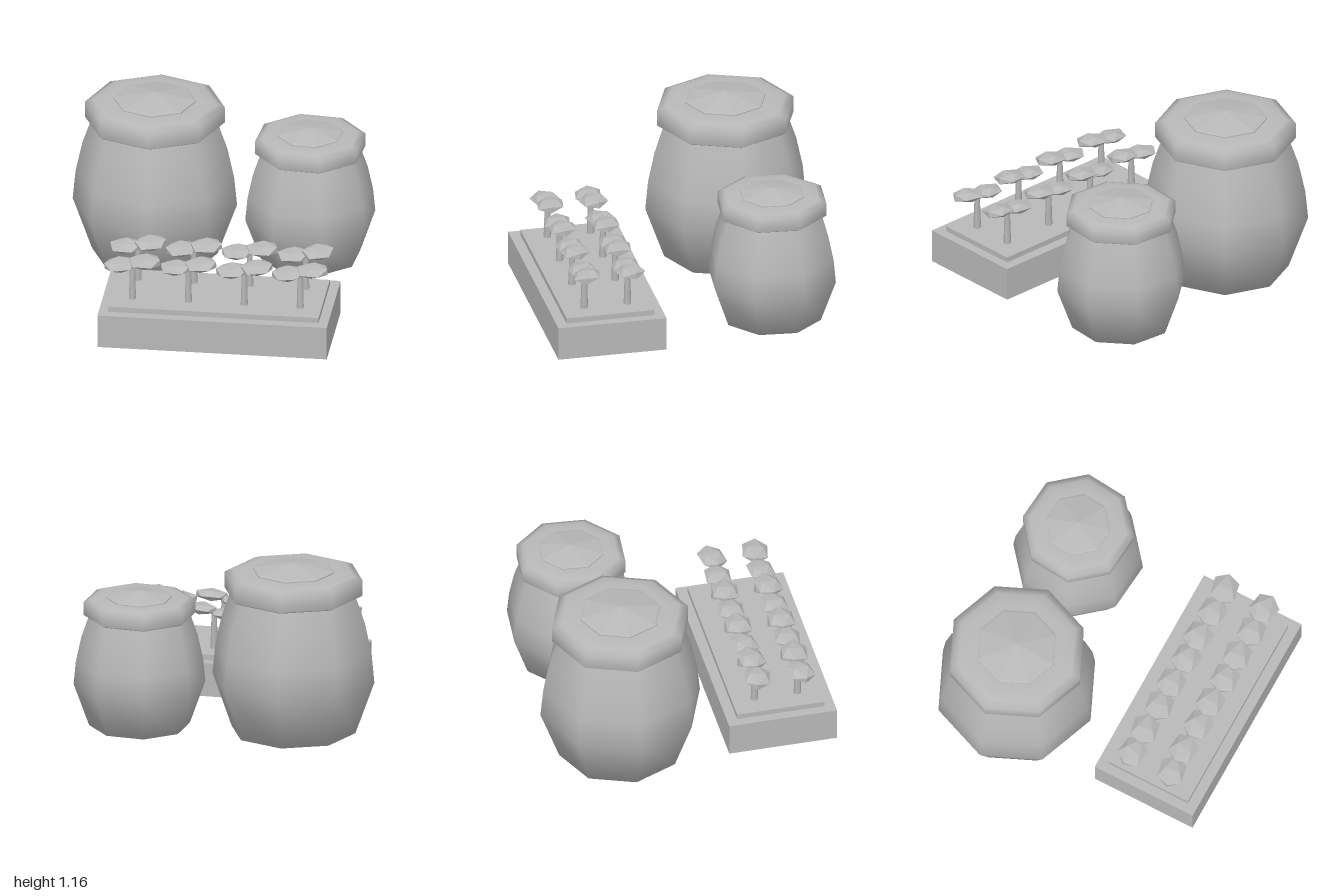
import * as THREE from 'three';

const stone = new THREE.MeshStandardMaterial({ color: 0xb8b8b8 });
stone.name = 'plain grey';

function add(parent, name, geometry, x = 0, y = 0, z = 0) {
  const mesh = new THREE.Mesh(geometry, stone);
  mesh.name = name;
  mesh.position.set(x, y, z);
  parent.add(mesh);
  return mesh;
}

// Eight-sided turned shape from [radius, height] pairs, bottom to top
function turned(profile, flat = false) {
  const points = profile.map(([r, y]) => new THREE.Vector2(r, y));
  const geometry = new THREE.LatheGeometry(points, 8);
  if (!flat) return geometry;
  const faceted = geometry.toNonIndexed();
  faceted.computeVertexNormals();
  return faceted;
}

// Rounded jar with a thick rim and a low pointed lid
function makeJar(name, x, z, scale, turn) {
  const jar = new THREE.Group();
  jar.name = name;
  add(jar, 'jarBody', turned([
    [0, 0], [0.4, 0.045], [0.523, 0.39], [0.505, 0.58], [0.462, 0.78], [0.4, 0.96],
  ]));
  add(jar, 'jarRim', turned([
    [0.37, 0.96], [0.425, 0.952], [0.446, 0.965], [0.446, 1.068], [0.39, 1.092], [0.32, 1.1], [0.24, 1.1],
  ]));
  add(jar, 'jarLid', turned([[0.262, 1.095], [0.262, 1.107], [0.25, 1.112], [0, 1.158]], true));
  jar.position.set(x, 0, z);
  jar.scale.setScalar(scale);
  jar.rotation.y = THREE.MathUtils.degToRad(turn);
  return jar;
}

// Small plant: one tapered stem under two overlapping leaf clumps
const stemGeometry = new THREE.CylinderGeometry(0.017, 0.025, 0.24, 6);
const leafGeometry = new THREE.IcosahedronGeometry(1, 0).rotateY(Math.PI / 2);
leafGeometry.scale(0.116, 0.038, 0.094);

function makePlant(x, z, index) {
  const plant = new THREE.Group();
  plant.name = 'plant';
  add(plant, 'stem', stemGeometry, 0, 0.12, 0);
  for (const side of [-1, 1]) {
    const leaf = add(plant, 'leafClump', leafGeometry, side * 0.08, 0.251 + side * 0.015, 0);
    leaf.rotation.set(0.1, 0.2 * Math.sin(index * 2.3 + side), 0.06);
  }
  plant.position.set(x, 0.25, z);
  return plant;
}

export function createModel() {
  const model = new THREE.Group();
  model.name = 'jarsAndPlanter';
  model.add(makeJar('largeJar', -0.47, -0.385, 1, 9.6));
  model.add(makeJar('smallJar', 0.49, -0.606, 0.8, 25.4));

  // Planter with a raised bed and two rows of plants
  const planter = new THREE.Group();
  planter.name = 'planter';
  planter.position.set(0.205, 0, 0.545);
  planter.rotation.y = THREE.MathUtils.degToRad(8.05);
  add(planter, 'planterBase', new THREE.BoxGeometry(1.464, 0.22, 0.702), 0, 0.11, 0);
  add(planter, 'planterBed', new THREE.BoxGeometry(1.343, 0.04, 0.57), 0, 0.235, 0);
  for (let i = 0; i < 8; i++) {
    const column = i % 4;
    planter.add(makePlant(-0.535 + column * 0.357, i < 4 ? -0.14 : 0.14, i));
  }
  model.add(planter);
  return model;
}
